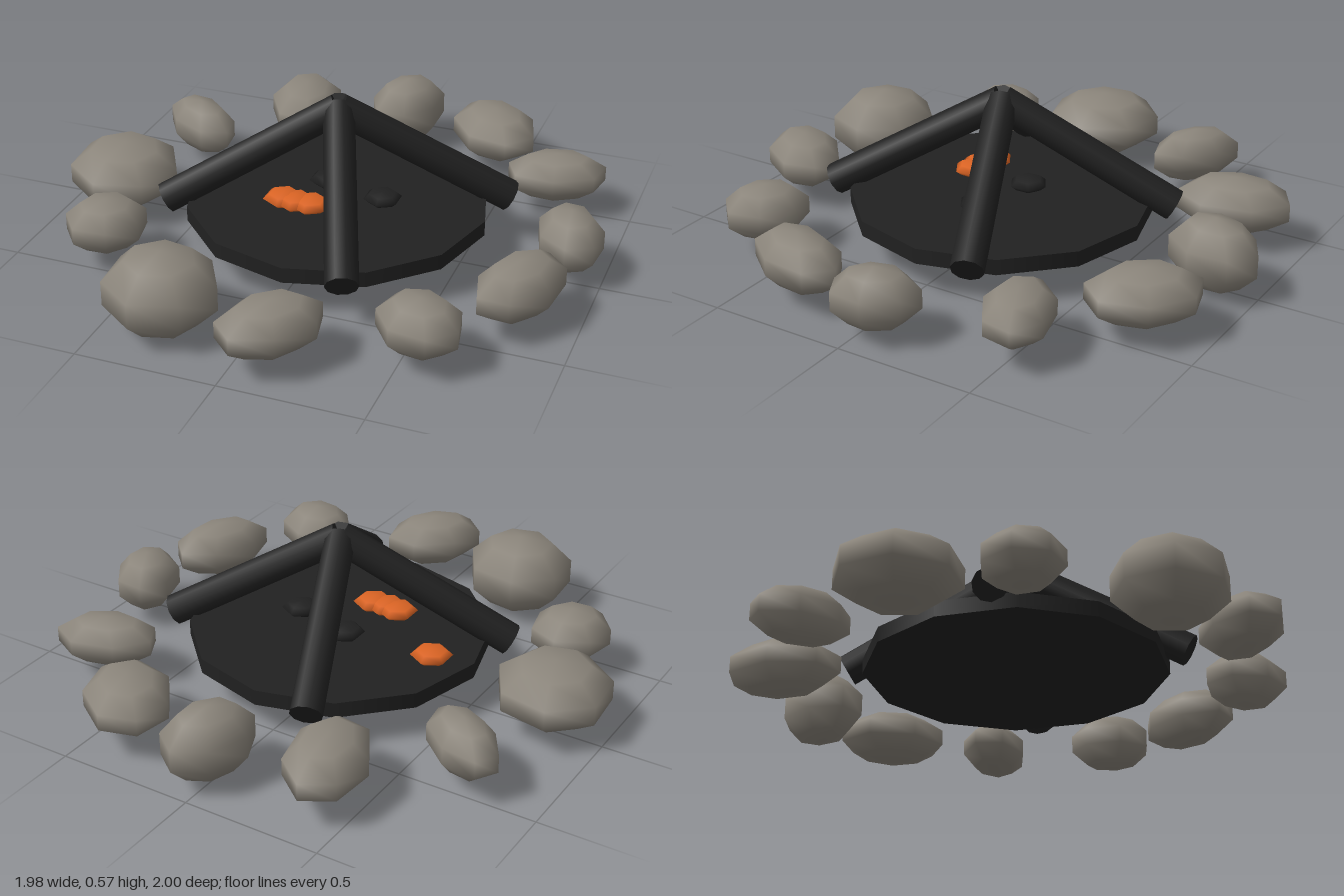
import * as THREE from 'three';

const mat = (name, color) => Object.assign(new THREE.MeshStandardMaterial({ color }), { name });

export function createModel() {
  const root = new THREE.Group();
  root.name = 'campfire';
  const stoneGrey = mat('stone grey', 0x8b857b);
  const charBlack = mat('charred black', 0x212121);
  const emberOrange = mat('ember orange', 0xdb6424);
  const cx = 0.035, cz = -0.01; // fire centre

  const add = (name, geometry, material, parent = root) => {
    const mesh = new THREE.Mesh(geometry, material);
    mesh.name = name;
    parent.add(mesh);
    return mesh;
  };

  // Ring of stones: centre x, z; pointed axis x, z; cross axis x, z; half height
  const stones = [
    [-0.37, -0.73, -0.017, -0.206, 0.144, 0.019, 0.1],
    [0.02, -0.84, 0.033, 0.156, 0.13, -0.068, 0.13],
    [0.4, -0.776, -0.013, -0.177, 0.174, 0.035, 0.095],
    [0.714, -0.497, 0.062, -0.128, 0.168, 0.011, 0.088],
    [0.873, -0.058, 0.015, 0.148, 0.122, 0.011, 0.108],
    [0.794, 0.312, 0.01, 0.178, 0.135, -0.076, 0.1],
    [0.556, 0.646, 0.005, -0.137, 0.149, 0.022, 0.098],
    [0.113, 0.82, -0.071, 0.169, 0.141, 0.019, 0.095],
    [-0.302, 0.75, -0.058, -0.189, 0.19, -0.054, 0.145],
    [-0.677, 0.418, 0, -0.145, 0.141, -0.008, 0.095],
    [-0.794, 0.034, -0.028, 0.209, 0.204, 0.041, 0.115],
    [-0.69, -0.42, -0.156, -0.051, -0.016, -0.12, 0.1],
  ];
  const stoneRing = new THREE.Group();
  stoneRing.name = 'stoneRing';
  root.add(stoneRing);
  const ringRadius = Math.sin(Math.PI * 0.4); // widest ring of a five-band sphere
  for (const [x, z, ax, az, bx, bz, h] of stones) {
    const side = -ax * bz + az * bx < 0 ? -1 : 1; // keep faces outward
    const m = new THREE.Matrix4().makeBasis(
      new THREE.Vector3(-ax, 0, -az).divideScalar(ringRadius),
      new THREE.Vector3(0, h, 0),
      new THREE.Vector3(bx, 0, bz).multiplyScalar(side / ringRadius),
    ).setPosition(x, 0.15, z);
    add('stone', new THREE.SphereGeometry(1, 7, 5).applyMatrix4(m), stoneGrey, stoneRing);
  }

  // Ash bed
  const bed = add('ashBed', new THREE.CylinderGeometry(0.545, 0.545, 0.056, 12), charBlack);
  bed.position.set(cx, 0.153, cz);

  // Four logs leaning together
  const up = new THREE.Vector3(0, 1, 0);
  for (let i = 0; i < 4; i++) {
    const a = -0.375 + i * Math.PI / 2;
    const at = (r, y) => new THREE.Vector3(cx + r * Math.cos(a), y, cz + r * Math.sin(a));
    const top = at(0.0, 0.525), foot = at(0.615, 0.175);
    const log = add('log', new THREE.CylinderGeometry(0.056, 0.058, top.distanceTo(foot), 10), charBlack);
    log.position.copy(top).add(foot).multiplyScalar(0.5);
    log.quaternion.setFromUnitVectors(up, top.clone().sub(foot).normalize());
  }

  // Glowing embers and burnt coals on the bed
  const coal = (name, material, x, z, r, y, h) => {
    const mesh = add(name, new THREE.SphereGeometry(1, 6, 4), material);
    mesh.scale.set(r, h, r);
    mesh.rotation.y = Math.PI / 6;
    mesh.position.set(x, y, z);
  };
  for (const [x, z] of [[-0.38, -0.08], [-0.12, 0.13], [-0.07, 0.14], [-0.015, 0.14]])
    coal('ember', emberOrange, x, z, 0.075, 0.213, 0.025);
  for (const [x, z] of [[0.2, -0.015], [-0.03, -0.08]])
    coal('coal', charBlack, x, z, 0.07, 0.2, 0.025);

  return root;
}
